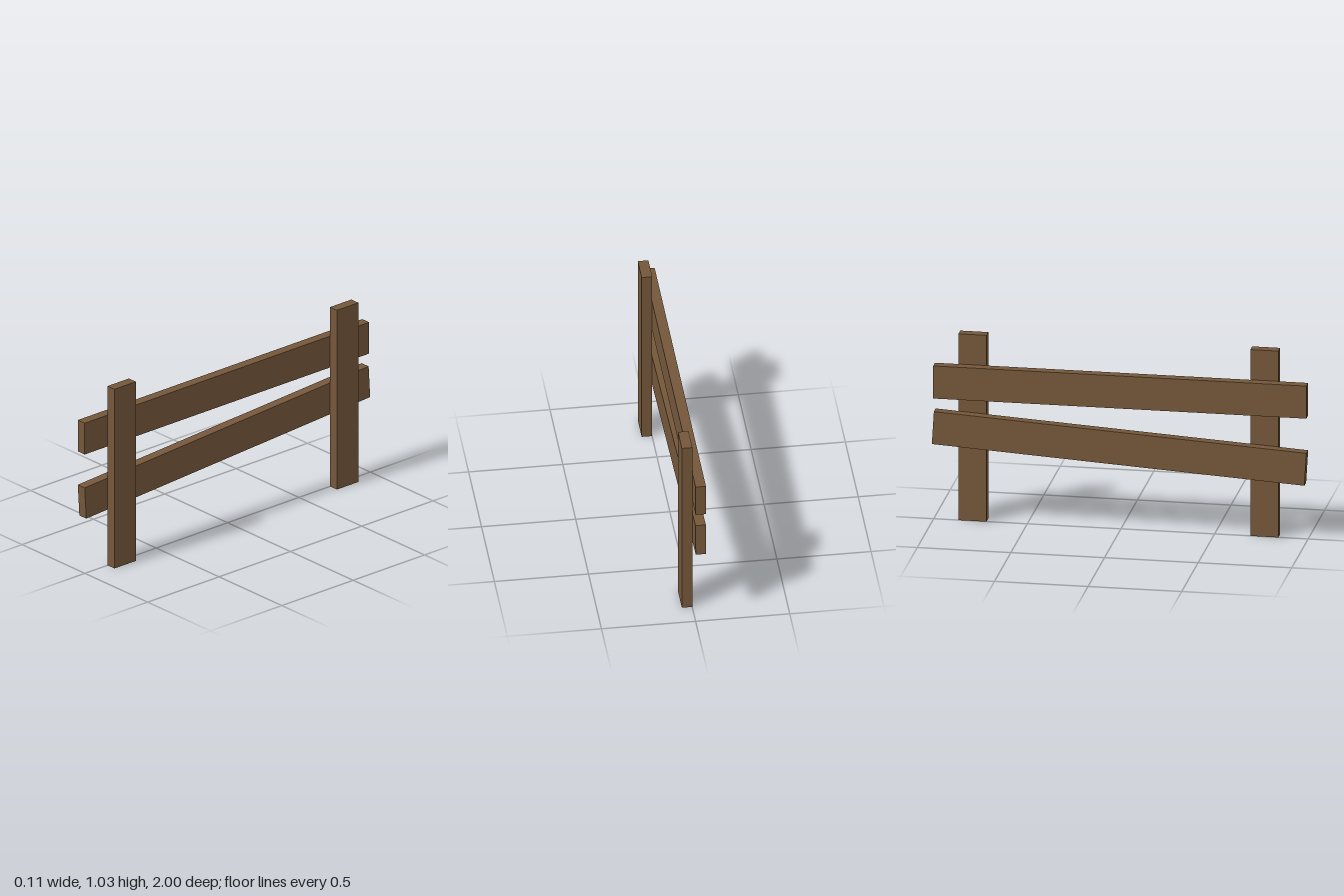
import * as THREE from 'three';

export function createModel() {
  const group = new THREE.Group();
  const wood = new THREE.MeshStandardMaterial({ color: 0x75573a, flatShading: true });

  const plank = (name, size, position, tilt = 0) => {
    const mesh = new THREE.Mesh(new THREE.BoxGeometry(...size), wood);
    mesh.name = name;
    mesh.position.set(...position);
    mesh.rotation.x = tilt;
    group.add(mesh);
  };

  // Upright posts on the +x side
  plank('frontPost', [0.056, 1.03, 0.15], [0.027, 0.515, 0.766]);
  plank('backPost', [0.056, 1.03, 0.15], [0.027, 0.515, -0.793]);

  // Rails on the -x side: upper one level, lower one slipped at its front end
  plank('upperRail', [0.055, 0.18, 1.993], [-0.0285, 0.773, 0.0035]);
  plank('lowerRail', [0.055, 0.18, 1.993], [-0.0285, 0.461, 0], 0.06);

  return group;
}
